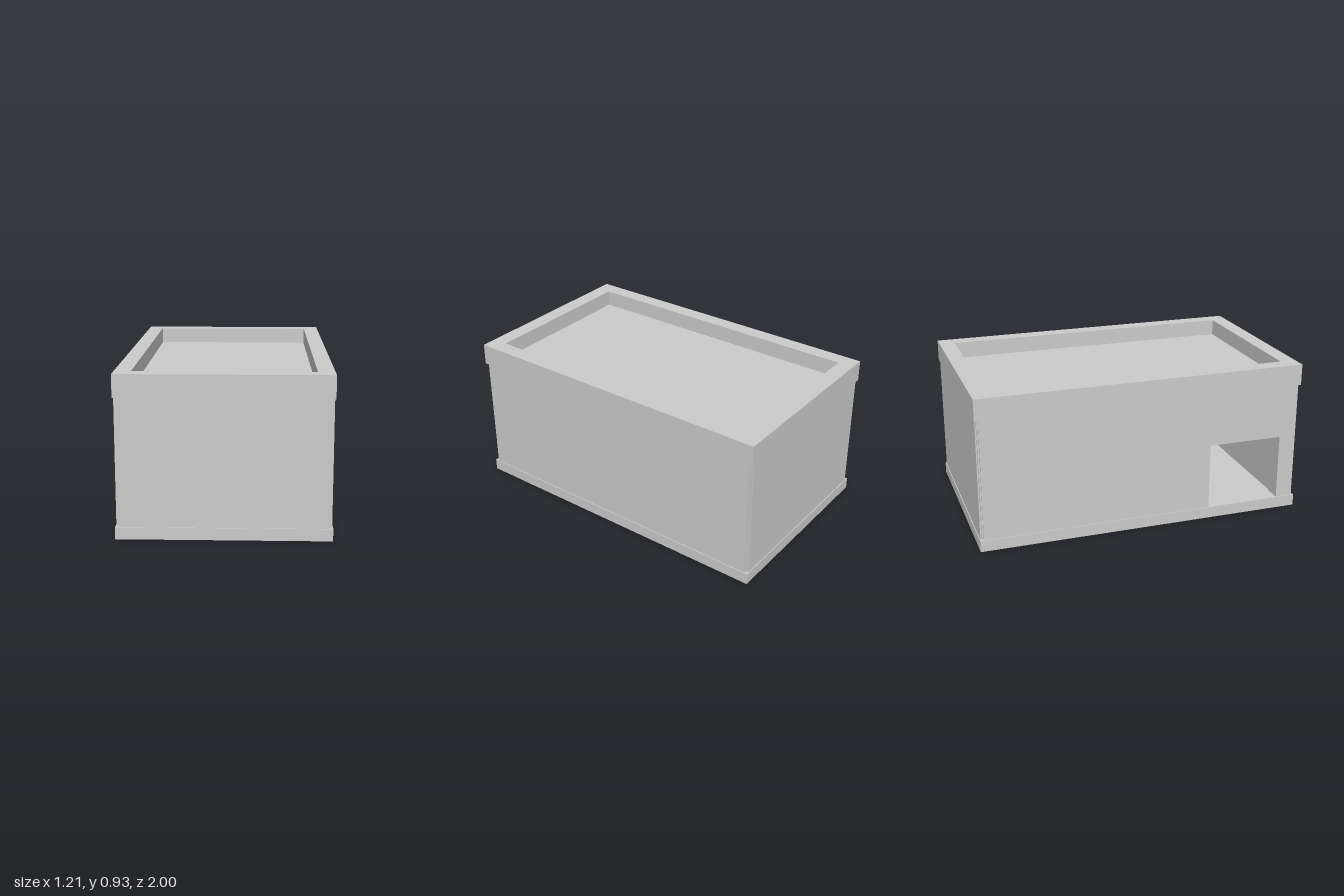
import * as THREE from 'three';

const W = 0.603, L = 1.0;           // half width and half length of the bands
const BASE = 0.07, EAVE = 0.8, ROOF = 0.83, TOP = 0.93;
const CW = 0.59, CL = 0.987;        // half extents of the wall core
const T = 0.1, SKIN = 0.008;        // wall and cladding thickness
const DOOR = { z0: 0.42, z1: 0.88, top: 0.475 };

export function createModel() {
  const group = new THREE.Group();
  const mat = new THREE.MeshStandardMaterial({ color: 0xcccccc, flatShading: true });

  const add = (name, geo, x = 0, y = 0, z = 0) => {
    const mesh = new THREE.Mesh(geo, mat);
    mesh.name = name;
    mesh.position.set(x, y, z);
    group.add(mesh);
    return mesh;
  };
  // Box given by its lower and upper y
  const slab = (name, w, y0, y1, d, x = 0, z = 0) =>
    add(name, new THREE.BoxGeometry(w, y1 - y0, d), x, (y0 + y1) / 2, z);

  // Long wall with a doorway cut up from the base; x is the outer plane's inner side
  const doorWall = (name, halfLength, xInner, thickness) => {
    const pts = [
      [-halfLength, BASE], [DOOR.z0, BASE], [DOOR.z0, DOOR.top], [DOOR.z1, DOOR.top],
      [DOOR.z1, BASE], [halfLength, BASE], [halfLength, EAVE], [-halfLength, EAVE],
    ].map(([z, y]) => new THREE.Vector2(z, y));
    const geo = new THREE.ExtrudeGeometry(new THREE.Shape(pts), { depth: thickness, bevelEnabled: false });
    geo.rotateY(-Math.PI / 2);      // shape x becomes z, depth runs towards -x
    add(name, geo, xInner);
  };

  // Foundation
  slab('base', 2 * W, 0, BASE, 2 * L);

  // Wall core around the hollow room
  for (const s of [1, -1]) {
    slab(s > 0 ? 'frontWall' : 'backWall', 2 * (CW - T), BASE, EAVE, T, 0, s * (CL - T / 2));
    slab(s > 0 ? 'frontCladding' : 'backCladding', 2 * 0.58, BASE, EAVE, SKIN, 0, s * (CL + SKIN / 2));
  }
  slab('leftWall', T, BASE, EAVE, 2 * CL, CW - T / 2);
  slab('leftCladding', SKIN, BASE, EAVE, 2 * 0.977, CW + SKIN / 2);
  doorWall('doorWall', CL, -CW + T, T);
  doorWall('doorCladding', 0.977, -CW, SKIN);

  // Parapet ring
  const rect = (Type, w, l) => new Type([
    new THREE.Vector2(-w, -l), new THREE.Vector2(w, -l), new THREE.Vector2(w, l), new THREE.Vector2(-w, l),
  ]);
  const ring = rect(THREE.Shape, W, L);
  ring.holes.push(rect(THREE.Path, 0.508, 0.903));
  const parapet = new THREE.ExtrudeGeometry(ring, { depth: TOP - EAVE, bevelEnabled: false });
  parapet.rotateX(-Math.PI / 2);
  add('parapet', parapet, 0, EAVE, 0);

  // Sunken flat roof
  slab('roof', 2 * 0.508, EAVE, ROOF, 2 * 0.903);

  return group;
}
